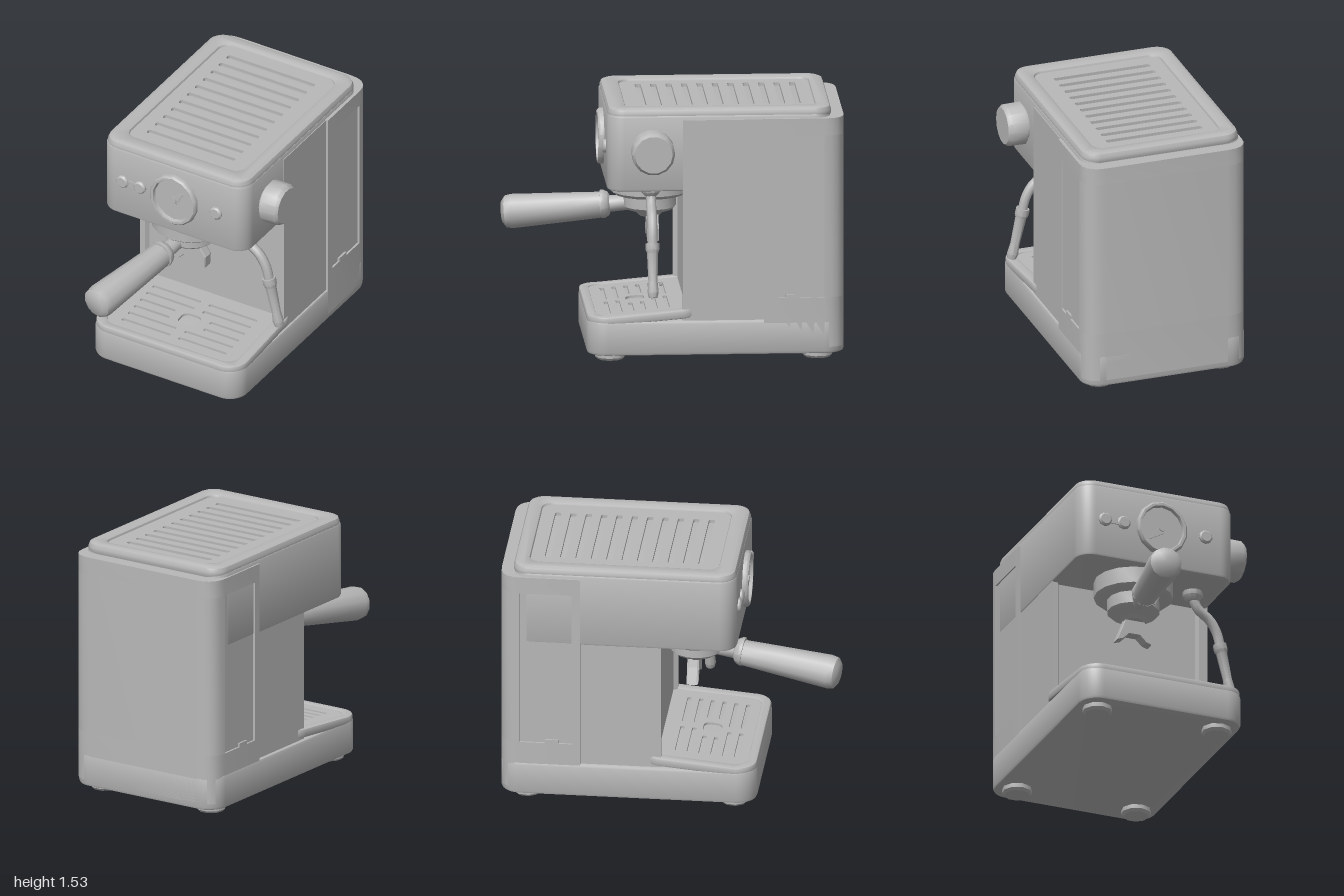
import * as THREE from 'three';
import { toCreasedNormals } from 'three/addons/utils/BufferGeometryUtils.js';

const grey = new THREE.MeshStandardMaterial({ color: 0xb8b8b8 });
grey.name = 'plain grey';

export function createModel() {
  const model = new THREE.Group();
  model.name = 'espressoMachine';

  const add = (name, geometry, x = 0, y = 0, z = 0, parent = model) => {
    const mesh = new THREE.Mesh(geometry, grey);
    mesh.name = name;
    mesh.position.set(x, y, z);
    parent.add(mesh);
    return mesh;
  };

  // Rounded rectangle in plan; shape y is -z
  const roundRect = (x0, x1, z0, z1, r, Type = THREE.Shape) => {
    const s = new Type(), a = -z1, b = -z0;
    s.moveTo(x0 + r, a);
    s.lineTo(x1 - r, a);
    s.absarc(x1 - r, a + r, r, -Math.PI / 2, 0);
    s.lineTo(x1, b - r);
    s.absarc(x1 - r, b - r, r, 0, Math.PI / 2);
    s.lineTo(x0 + r, b);
    s.absarc(x0 + r, b - r, r, Math.PI / 2, Math.PI);
    s.lineTo(x0, a + r);
    s.absarc(x0 + r, a + r, r, Math.PI, Math.PI * 1.5);
    return s;
  };
  const hole = (...args) => roundRect(...args, THREE.Path);

  // Plan shape raised from y0 to y1, edges bevelled inwards
  const slab = (shape, y0, y1, bevel = 0) => {
    const g = new THREE.ExtrudeGeometry(shape, {
      depth: y1 - y0 - 2 * bevel, curveSegments: 5, bevelEnabled: bevel > 0,
      bevelSize: bevel, bevelThickness: bevel, bevelOffset: -bevel, bevelSegments: 2,
    });
    g.rotateX(-Math.PI / 2).translate(0, y0 + bevel, 0);
    return toCreasedNormals(g, 0.6);
  };

  const lathe = (pts, sides) => toCreasedNormals(
    new THREE.LatheGeometry(pts.map(p => new THREE.Vector2(...p)), sides), 0.7);

  // Turned part along a line from a to b; profile is [radius, 0..1 along line]
  const turned = (name, a, b, profile, sides = 12) => {
    const from = new THREE.Vector3(...a), dir = new THREE.Vector3(...b).sub(from), len = dir.length();
    const mesh = add(name, lathe(profile.map(([r, t]) => [r, t * len]), sides), ...a);
    mesh.quaternion.setFromUnitVectors(new THREE.Vector3(0, 1, 0), dir.normalize());
    return mesh;
  };

  // Base and feet
  add('base', slab(roundRect(-0.575, 0.455, -1, 0.525, 0.12), 0.04, 0.25, 0.02));
  for (const x of [-0.445, 0.32]) for (const z of [0.385, -0.845]) {
    add('foot', lathe([[0, 0], [0.075, 0], [0.09, 0.015], [0.09, 0.06], [0, 0.06]], 9), x, 0, z);
  }

  // Drip tray: sloping rim and slotted plate with a centre drain
  const slope = g => {
    const p = g.attributes.position;
    for (let i = 0; i < p.count; i++) {
      p.setY(i, p.getY(i) + 0.04 * Math.max(0, 0.4 - p.getZ(i)) / 0.44);
    }
    return g;
  };
  const rim = roundRect(-0.572, 0.452, -0.16, 0.522, 0.12);
  rim.holes.push(hole(-0.51, 0.385, -0.1, 0.465, 0.08));
  add('trayRim', slope(slab(rim, 0.22, 0.275, 0.012)));
  const tray = roundRect(-0.53, 0.405, -0.12, 0.485, 0.08);
  for (let i = 0; i < 6; i++) {
    const z = 0.04 + i * 0.07;
    const inner = i === 2 || i === 3 ? 0.12 : 0.03;
    tray.holes.push(hole(-0.42, -0.06 - inner, z - 0.012, z + 0.012, 0.01));
    tray.holes.push(hole(-0.06 + inner, 0.3, z - 0.012, z + 0.012, 0.01));
  }
  tray.holes.push(hole(-0.125, 0.005, 0.16, 0.27, 0.04));
  add('dripTray', slope(slab(tray, 0.252, 0.267)));

  // Column with a shallow recessed front panel
  const column = new THREE.Shape([
    [-0.555, 0.04], [-0.52, 0.04], [-0.505, 0.065], [0.37, 0.065], [0.385, 0.04],
    [0.44, 0.04], [0.44, 0.7], [-0.555, 0.7],
  ].map(p => new THREE.Vector2(...p)));
  add('column', slab(column, 0.08, 1.46));

  // Rear housing, stacked so that both sides carry an inset panel
  const rear = d => {
    const s = new THREE.Shape();
    s.moveTo(-0.57, 0.52);
    s.lineTo(0.455, 0.52);
    if (d) [[0.455, 0.57], [0.455 - d, 0.57], [0.455 - d, 0.88]].forEach(p => s.lineTo(...p));
    s.lineTo(0.455, 0.88);
    s.quadraticCurveTo(0.455, 1, 0.325, 1);
    s.lineTo(-0.44, 1);
    s.quadraticCurveTo(-0.57, 1, -0.57, 0.88);
    if (d) [[-0.57 + d, 0.88], [-0.57 + d, 0.57], [-0.57, 0.57]].forEach(p => s.lineTo(...p));
    return s;
  };
  add('rearHousingLower', slab(rear(0), 0.08, 0.38));
  add('rearHousingPanels', slab(rear(0.012), 0.38, 1.36));
  add('rearHousingUpper', slab(rear(0), 1.36, 1.465));
  for (const x of [-0.564, 0.449]) add('panelLatch', new THREE.BoxGeometry(0.012, 0.025, 0.08), x, 0.39, -0.69);

  // Head, raised top rim and slotted cup warmer
  add('head', slab(roundRect(-0.56, 0.435, -0.92, 0.405, 0.1), 1.03, 1.49, 0.015));
  const topRim = roundRect(-0.555, 0.43, -0.925, 0.4, 0.1);
  topRim.holes.push(hole(-0.45, 0.33, -0.83, 0.285, 0.06));
  add('topRim', slab(topRim, 1.45, 1.53, 0.03));
  const warmer = roundRect(-0.46, 0.34, -0.84, 0.295, 0.06);
  for (let i = 0; i < 11; i++) {
    const z = -0.735 + i * 0.0915;
    warmer.holes.push(hole(-0.37, 0.23, z - 0.018, z + 0.018, 0.012));
  }
  add('cupWarmer', slab(warmer, 1.485, 1.51));

  // Pressure gauge with needle
  const gauge = new THREE.Group();
  gauge.name = 'gauge';
  gauge.position.set(-0.045, 1.27, 0.4);
  model.add(gauge);
  const bezel = add('gaugeBezel', lathe([[0.16, 0], [0.16, 0.028], [0.15, 0.04], [0.136, 0.04], [0.13, 0.018], [0, 0.018]], 14), 0, 0, 0, gauge);
  bezel.rotation.x = Math.PI / 2;
  bezel.scale.z = 1.06;
  const needle = new THREE.Shape([[-0.085, -0.085], [0.015, -0.03], [0.07, 0.065], [-0.015, 0.02]]
    .map(p => new THREE.Vector2(...p)));
  add('needle', new THREE.ExtrudeGeometry(needle, { depth: 0.008, bevelEnabled: false }), 0, 0, 0.018, gauge);
  add('needleHub', new THREE.CylinderGeometry(0.022, 0.022, 0.016, 8).rotateX(Math.PI / 2), 0, 0, 0.024, gauge);

  // Front buttons
  for (const x of [-0.405, -0.285, 0.24]) {
    turned('button', [x, 1.27, 0.395], [x, 1.27, 0.425], [[0.042, 0], [0.042, 0.7], [0.032, 1], [0, 1]], 9);
  }
  add('buttonBridge', new THREE.BoxGeometry(0.1, 0.035, 0.02), -0.345, 1.27, 0.402);

  // Side knob
  turned('sideKnob', [0.42, 1.28, 0.14], [0.572, 1.28, 0.14],
    [[0.1, 0], [0.105, 0.18], [0.13, 0.22], [0.128, 0.85], [0.112, 1], [0, 1]], 14);

  // Brew group and filter holder
  const cx = -0.105, cz = 0.125;
  add('brewGroup', lathe([[0, 0], [0.21, 0], [0.235, 0.02], [0.235, 0.15], [0, 0.15]], 16), cx, 0.91, cz);
  add('filterHolder', lathe([[0, 0], [0.06, 0], [0.09, 0.03], [0.135, 0.04], [0.157, 0.06], [0.157, 0.15], [0, 0.15]], 14), cx, 0.775, cz);
  turned('handleNeck', [-0.12, 0.85, 0.24], [-0.145, 0.835, 0.42],
    [[0.045, 0], [0.05, 0.65], [0.07, 0.7], [0.085, 0.85], [0.085, 0.95], [0, 1]], 10);
  turned('handle', [-0.143, 0.833, 0.39], [-0.252, 0.773, 0.99],
    [[0, 0], [0.076, 0], [0.085, 0.3], [0.102, 0.9], [0.095, 0.965], [0.065, 1], [0, 1]], 12);

  // Twin spout, an arched bracket
  const spout = new THREE.Shape([
    [-0.05, 0.79], [0.05, 0.79], [0.07, 0.765], [0.108, 0.71], [0.105, 0.64], [0.075, 0.65],
    [0.035, 0.69], [-0.035, 0.69], [-0.075, 0.65], [-0.108, 0.64], [-0.07, 0.73],
  ].reverse().map(p => new THREE.Vector2(...p)));
  add('twinSpout', new THREE.ExtrudeGeometry(spout, {
    depth: 0.05, bevelEnabled: true, bevelSize: 0.004, bevelThickness: 0.01, bevelSegments: 1,
  }), cx, 0, 0.085);

  // Steam wand: mount, bent pipe and sleeve
  add('wandMount', lathe([[0, 0], [0.035, 0], [0.06, 0.03], [0.06, 0.09], [0, 0.09]], 10), 0.27, 0.97, 0.14);
  const bend = new THREE.CatmullRomCurve3([
    [0.27, 1.0, 0.14], [0.3, 0.93, 0.14], [0.38, 0.865, 0.14], [0.425, 0.79, 0.14], [0.45, 0.69, 0.14],
  ].map(p => new THREE.Vector3(...p)));
  add('wandPipe', new THREE.TubeGeometry(bend, 12, 0.03, 8));
  turned('wandSleeve', [0.443, 0.72, 0.14], [0.515, 0.405, 0.14],
    [[0, 0], [0.042, 0], [0.042, 0.12], [0.034, 0.18], [0.028, 0.7], [0.034, 0.9], [0.026, 1], [0, 1]], 9);

  return model;
}
